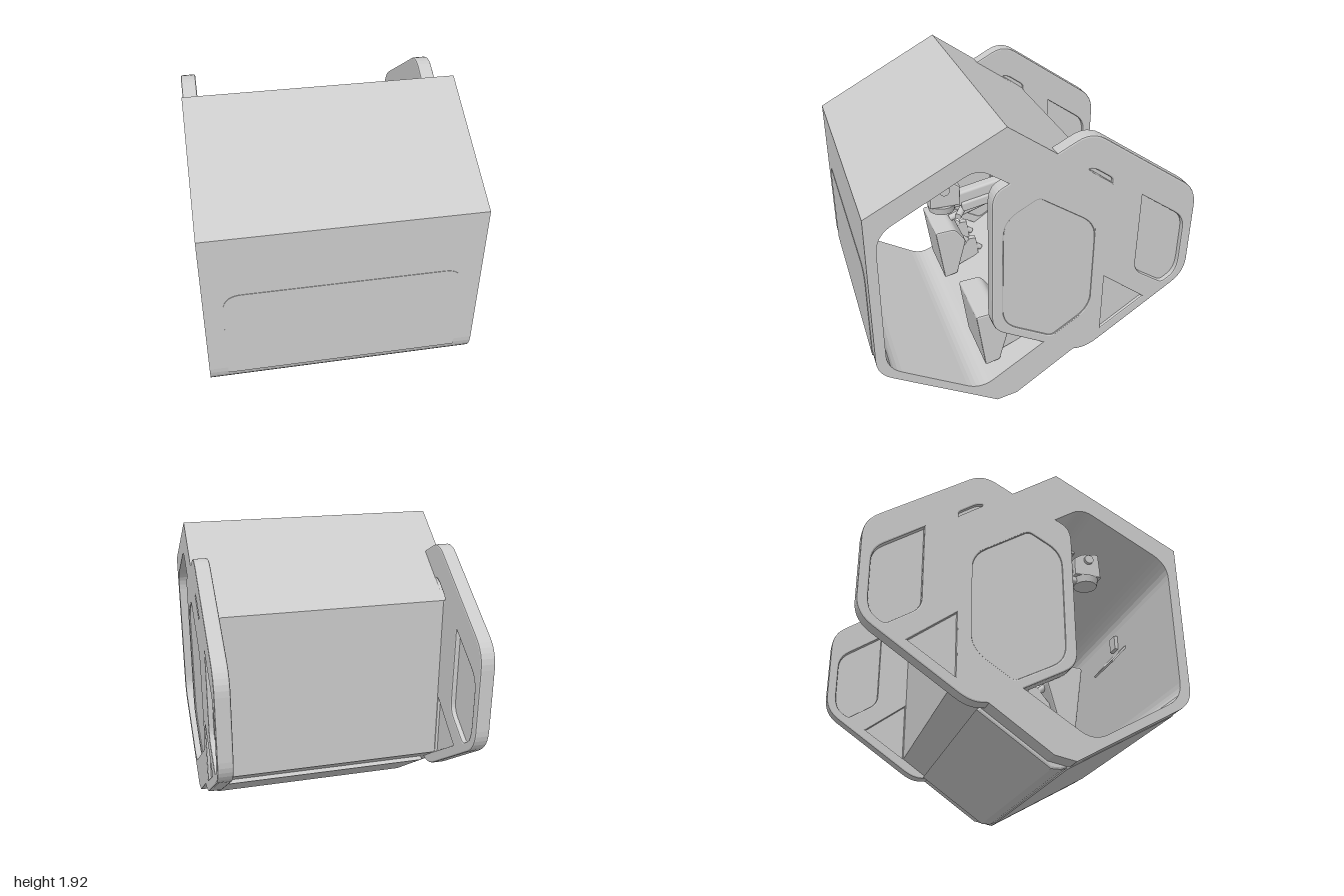
import * as THREE from 'three';
import { RoundedBoxGeometry } from 'three/addons/geometries/RoundedBoxGeometry.js';

const material = new THREE.MeshStandardMaterial({ color: 0xcccccc });

// Trace a polygon whose corners [a, b, radius] are rounded
function trace(path, points) {
  const n = points.length;
  points.forEach((p, i) => {
    const v = new THREE.Vector2(p[0], p[1]);
    const toward = (q) => {
      const d = new THREE.Vector2(q[0], q[1]).sub(v);
      const r = Math.min(p[2] || 0, d.length() * 0.49);
      return d.setLength(r).add(v);
    };
    const a = p[2] ? toward(points[(i + n - 1) % n]) : v;
    if (i === 0) path.moveTo(a.x, a.y); else path.lineTo(a.x, a.y);
    if (p[2]) {
      const b = toward(points[(i + 1) % n]);
      path.quadraticCurveTo(v.x, v.y, b.x, b.y);
    }
  });
  path.closePath();
  return path;
}

// Extrude a (z, y) profile along x, centred on x = 0
function slab(points, width, bevel = 0, holes = []) {
  const shape = trace(new THREE.Shape(), points);
  holes.forEach((h) => shape.holes.push(trace(new THREE.Path(), h)));
  const g = new THREE.ExtrudeGeometry(shape, {
    depth: width - 2 * bevel, curveSegments: 6, bevelEnabled: bevel > 0,
    bevelThickness: bevel, bevelSize: bevel, bevelOffset: -bevel, bevelSegments: 2,
  });
  return g.translate(0, 0, bevel - width / 2).rotateY(-Math.PI / 2);
}

function add(parent, name, geometry, x = 0, y = 0, z = 0, tilt = 0) {
  const mesh = new THREE.Mesh(geometry, material);
  mesh.name = name;
  mesh.position.set(x, y, z);
  mesh.rotation.x = tilt;
  parent.add(mesh);
  return mesh;
}

// Round bar between two (x, y, z) points
function rod(parent, name, from, to, radius) {
  const a = new THREE.Vector3(...from), b = new THREE.Vector3(...to);
  const mesh = add(parent, name, new THREE.CylinderGeometry(radius, radius, a.distanceTo(b), 12));
  mesh.position.copy(a).lerp(b, 0.5);
  mesh.quaternion.setFromUnitVectors(new THREE.Vector3(0, 1, 0), b.sub(a).normalize());
}

export function createModel() {
  const model = new THREE.Group();
  model.name = 'cabin';

  // Hollow six-sided shell, open at both sides
  const shell = [[0.997, 1.5], [0.2, 1.92], [-0.43, 1.485], [-0.43, 0.43],
    [0.12, 0.045], [0.25, 0.02], [0.997, 0.44, 0.1]];
  const cavity = [[0.935, 1.39, 0.11], [0.365, 1.7, 0.08], [-0.35, 1.23, 0.05],
    [-0.35, 0.61, 0.05], [0.36, 0.145, 0.1], [0.935, 0.47, 0.1]];
  add(model, 'shell', slab(shell, 1.6, 0, [cavity]));

  // Cover panel on the nose, rounded at the top
  const cover = trace(new THREE.Shape(),
    [[-0.69, 0.5], [0.69, 0.5], [0.69, 1.105, 0.11], [-0.69, 1.105, 0.11]]);
  add(model, 'nosePanel', new THREE.ExtrudeGeometry(cover, { depth: 0.01, bevelEnabled: false }), 0, 0, 0.99);
  add(model, 'lowerNosePanel', slab([[0.9, 0.4], [0.93, 0.398], [0.235, 0.006], [0.235, 0.04]], 1.38));

  // Raised belly panel
  add(model, 'bellyPanel', slab([[0.27, 0.06], [0.26, 0.025], [0.2, 0], [0.14, 0],
    [-0.29, 0.3], [-0.24, 0.36], [0.15, 0.1]], 1.38, 0.015));

  // Side plates: door and rear fin in one, with sunk panes
  const plate = [[0.285, 1.53, 0.09], [0.17, 1.59], [0, 1.66], [-0.09, 1.72], [-0.29, 1.825, 0.1],
    [-1, 1.345, 0.11], [-1, 0.74, 0.11], [-0.35, 0.295, 0.09], [-0.22, 0.305],
    [-0.05, 0.41], [0.285, 0.59, 0.09]];
  const panes = {
    doorPanel: [0.076, [[0.005, 1.455, 0.03], [-0.35, 1.225, 0.1], [-0.35, 0.62, 0.1],
      [-0.1, 0.455, 0.03], [0.215, 0.62, 0.1], [0.215, 1.34, 0.1]]],
    finWindow: [0.03, [[-0.64, 1.365], [-0.938, 1.16, 0.08], [-0.938, 0.77, 0.1],
      [-0.84, 0.7, 0.03], [-0.64, 0.83, 0.06]]],
    cornerWindow: [0.05, [[-0.435, 0.83], [-0.71, 0.62], [-0.435, 0.435]]],
    slot: [0.05, [[-0.28, 1.595, 0.02], [-0.33, 1.585, 0.02], [-0.437, 1.51, 0.02], [-0.437, 1.48]]],
  };
  const holes = Object.values(panes).map((p) => p[1]);
  for (const side of [1, -1]) {
    const fin = new THREE.Group();
    fin.name = side > 0 ? 'leftSidePlate' : 'rightSidePlate';
    fin.position.x = side * 0.755;
    add(fin, 'plate', slab(plate, 0.09, 0.01, holes));
    for (const [name, [width, outline]] of Object.entries(panes)) add(fin, name, slab(outline, width));
    model.add(fin);
  }

  // Equipment mounted inside, one set per side
  for (const side of [1, -1]) {
    const kit = new THREE.Group();
    kit.name = side > 0 ? 'leftControls' : 'rightControls';
    const x = side * 0.5;

    // Tilted knee pad on its brackets
    add(kit, 'kneePad', slab([[0.355, 0.63, 0.02], [0.21, 0.64, 0.03], [0.13, 0.53, 0.02],
      [0.2, 0.26, 0.01], [0.295, 0.235, 0.01]], 0.4, 0.012), x);
    for (const o of [-0.12, 0.12]) {
      add(kit, 'padBracket', slab([[0.2, 0.36], [0.22, 0.27], [0.02, 0.36], [0.04, 0.5], [0.09, 0.5]], 0.04), x + o);
      rod(kit, 'padStrut', [x + o, 0.52, 0.15], [x + o, 0.4, 0], 0.02);
    }

    // Jointed overhead arm with a hanging head
    add(kit, 'armBeam', new RoundedBoxGeometry(0.07, 0.09, 0.65, 2, 0.015), x, 1.42, 0.16, -0.2 + 0.4);
    add(kit, 'armLowerBeam', new RoundedBoxGeometry(0.1, 0.06, 0.25, 2, 0.012), x, 1.35, 0.26, 0.2);
    add(kit, 'armHead', slab([[0.57, 1.535, 0.02], [0.46, 1.52, 0.02], [0.4, 1.48],
      [0.4, 1.36], [0.58, 1.36]], 0.14, 0.01), x);
    add(kit, 'armFoot', new THREE.CylinderGeometry(0.085, 0.075, 0.045, 20), x, 1.338, 0.495);
    const pivot = add(kit, 'armPivot', new THREE.CylinderGeometry(0.03, 0.03, 0.18, 16), x, 1.475, 0.495);
    pivot.rotation.z = Math.PI / 2;

    // Vented box on the rear wall
    add(kit, 'ventBox', new RoundedBoxGeometry(0.26, 0.3, 0.2, 2, 0.02), x, 0.92, -0.26);
    for (let i = 0; i < 4; i++) {
      add(kit, 'ventRib', new THREE.BoxGeometry(0.03, 0.22, 0.02), x - 0.09 + i * 0.06, 0.92, -0.155);
    }
    rod(kit, 'linkRod', [x - 0.1, 0.72, 0.02], [x + 0.1, 0.68, 0.16], 0.025);
    rod(kit, 'linkRod', [x, 0.78, -0.25], [x, 0.62, 0.2], 0.025);
    model.add(kit);
  }

  // Ceiling unit
  add(model, 'ceilingUnit', slab([[0.485, 1.64], [0.47, 1.63], [0.4, 1.64], [0.32, 1.665],
    [0.285, 1.62], [0.23, 1.61], [0.26, 1.66], [0.365, 1.72]], 0.8), 0);

  // Small lever and mount on the inside of the nose
  add(model, 'leverMount', new THREE.BoxGeometry(0.08, 0.1, 0.03), 0, 1.19, 0.925);
  add(model, 'lever', new THREE.BoxGeometry(0.3, 0.17, 0.014), 0, 1.05, 0.885, 0.72);

  return model;
}
